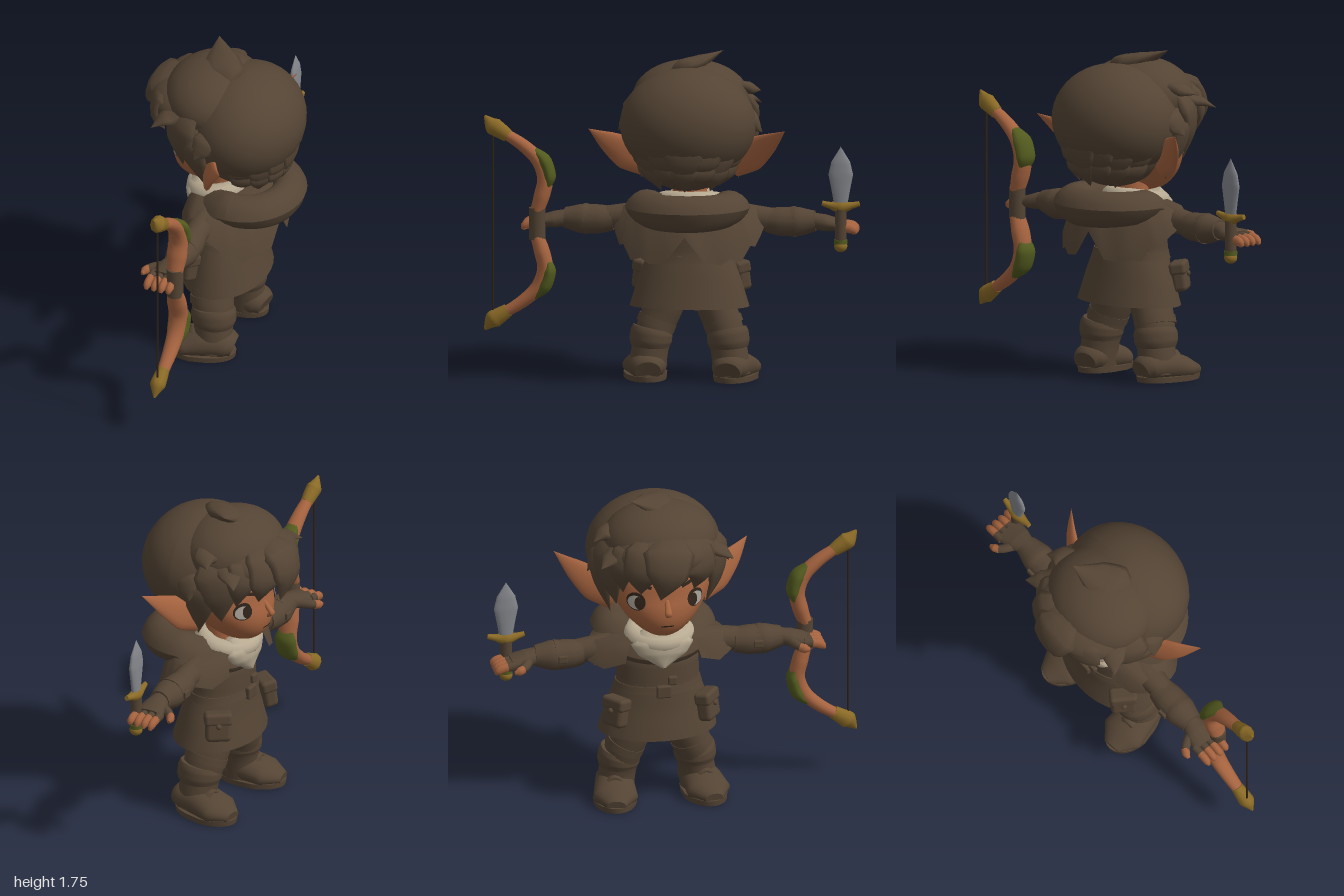
import * as THREE from 'three';
import { RoundedBoxGeometry } from 'three/addons/geometries/RoundedBoxGeometry.js';

const mat = (name, color, side = THREE.FrontSide) => {
  const m = new THREE.MeshStandardMaterial({ color, side });
  m.name = name;
  return m;
};
const V = (p) => new THREE.Vector3(...p);

// Sweeps an ellipse along a curve; widths and depths are spread evenly over its length.
function sweep(pts, widths, depths, out = [0, 0, 1], sides = 14, rings = 16) {
  const curve = new THREE.CatmullRomCurve3(pts.map(V));
  const pick = (a, t) => {
    const f = t * (a.length - 1), i = Math.min(Math.floor(f), a.length - 2);
    return THREE.MathUtils.lerp(a[i], a[i + 1], f - i);
  };
  const pos = [], idx = [];
  for (let i = 0; i <= rings; i++) {
    const t = i / rings, p = curve.getPoint(t), tan = curve.getTangent(t);
    const side = new THREE.Vector3().crossVectors(tan, V(out)).normalize();
    const nrm = new THREE.Vector3().crossVectors(tan, side);
    for (let j = 0; j < sides; j++) {
      const a = (j / sides) * Math.PI * 2;
      const q = p.clone().addScaledVector(side, pick(widths, t) * Math.cos(a)).addScaledVector(nrm, pick(depths, t) * Math.sin(a));
      pos.push(q.x, q.y, q.z);
    }
  }
  for (let i = 0; i < rings; i++) for (let j = 0; j < sides; j++) {
    const a = i * sides + j, b = i * sides + (j + 1) % sides;
    idx.push(a, b, a + sides, b, b + sides, a + sides);
  }
  // Caps have their own vertices so that blunt ends stay crisp
  for (const end of [0, 1]) {
    const base = pos.length / 3, ring = end * rings * sides;
    for (let j = 0; j < sides; j++) pos.push(...pos.slice((ring + j) * 3, (ring + j) * 3 + 3));
    for (let j = 1; j < sides - 1; j++) idx.push(base, base + (end ? j : j + 1), base + (end ? j + 1 : j));
  }
  const g = new THREE.BufferGeometry();
  g.setAttribute('position', new THREE.Float32BufferAttribute(pos, 3));
  g.setIndex(idx);
  g.computeVertexNormals();
  return g;
}

function reshape(g, rule) {
  const p = g.attributes.position, v = new THREE.Vector3();
  for (let i = 0; i < p.count; i++) {
    v.fromBufferAttribute(p, i);
    rule(v);
    p.setXYZ(i, v.x, v.y, v.z);
  }
  g.computeVertexNormals();
  return g;
}
const ball = (c, r) => new THREE.SphereGeometry(1, 36, 24).scale(...r).translate(...c);

export function createModel() {
  const brown = mat('brown cloth', 0x544434), cape = mat('brown cape', 0x544434, THREE.DoubleSide);
  const skin = mat('skin', 0xa5633f), gold = mat('gold', 0x8a6a26), green = mat('green wrap', 0x525a1e);
  const steel = mat('steel', 0x84868b), cream = mat('cream scarf', 0xb8aa92);
  const dark = mat('dark', 0x30241a, THREE.DoubleSide), white = mat('eye white', 0xa8a096, THREE.DoubleSide);
  // Built facing +z, then turned to face -x
  const body = new THREE.Group();
  body.name = 'archer';
  const add = (name, geo, m, parent = body) => {
    const mesh = new THREE.Mesh(geo, m);
    mesh.name = name;
    parent.add(mesh);
    return mesh;
  };

  // Head and face
  const jaw = (y) => Math.max(0, 1.24 - y);
  add('head', reshape(ball([0, 1.24, 0.03], [0.27, 0.255, 0.23]), (v) => {
    v.z += jaw(v.y) * 0.38;
    v.x *= 1 - jaw(v.y) * 1.1;
  }), skin);
  const facePlate = (name, g, m, off) => add(name, reshape(g, (v) => {
    const u = v.x / (1 - jaw(v.y) * 1.1) / 0.27, h = (v.y - 1.24) / 0.255;
    v.z = 0.03 + 0.23 * Math.sqrt(Math.max(0, 1 - u * u - h * h)) + jaw(v.y) * 0.38 + off;
  }), m);
  const oval = (x, y, w, h) => new THREE.CircleGeometry(1, 24).scale(w, h, 1).translate(x, y, 0);
  for (const s of [1, -1]) {
    facePlate('eyeOutline', oval(s * 0.16, 1.222, 0.046, 0.05), dark, 0.004);
    facePlate('eyeWhite', oval(s * 0.164, 1.217, 0.037, 0.038), white, 0.008);
    facePlate('iris', oval(s * 0.148, 1.217, 0.022, 0.034), dark, 0.012);
    facePlate('eyebrow', new THREE.PlaneGeometry(0.1, 0.018, 8, 1).rotateZ(s * 0.3).translate(s * 0.13, 1.315, 0), dark, 0.006);
    add('ear', sweep([[s * 0.22, 1.17, 0], [s * 0.33, 1.225, -0.05], [s * 0.43, 1.295, -0.11], [s * 0.525, 1.37, -0.19]],
      [0.085, 0.095, 0.055, 0], [0.035, 0.03, 0.02, 0]), skin);
  }
  facePlate('mouth', new THREE.PlaneGeometry(0.07, 0.008, 8, 1).translate(0, 1.085, 0), dark, 0.004);
  add('nose', sweep([[0, 1.23, 0.25], [0, 1.185, 0.29], [0, 1.165, 0.305], [0, 1.145, 0.275]], [0.012, 0.018, 0.02, 0.01], [0.012, 0.014, 0.013, 0.01]), skin);
  add('neck', new THREE.CylinderGeometry(0.09, 0.1, 0.18, 20).translate(0, 0.97, 0), skin);

  // Hair: smooth dome cut back around the face, crown, nape and fringe masses
  add('hairDome', reshape(ball([0, 1.39, -0.12], [0.362, 0.3, 0.313]), (v) => {
    v.z = Math.min(v.z, THREE.MathUtils.mapLinear(v.y, 1.15, 1.4, -0.01, 0.17));
  }), brown);
  add('hairNape', reshape(ball([0, 1.25, -0.12], [0.265, 0.215, 0.265]), (v) => { v.z = Math.min(v.z, -0.03); }), brown);
  add('hairCrown', ball([0, 1.51, 0.06], [0.31, 0.2, 0.27]), brown);
  add('fringe', ball([0, 1.485, 0.18], [0.28, 0.13, 0.225]), brown);
  const lock = (pts, w, d = 0.04) => {
    const mid = V(pts[pts.length >> 1]).sub(V([0, 1.4, -0.05]));
    add('hairLock', sweep(pts, [w * 0.2, w, w * 0.8, 0], [d * 0.2, d, d * 0.8, 0], mid.toArray(), 10, 12), brown);
  };
  lock([[0, 1.6, 0.16], [-0.01, 1.54, 0.36], [-0.03, 1.43, 0.41], [-0.06, 1.29, 0.39]], 0.14, 0.05);
  lock([[-0.04, 1.6, 0.16], [-0.12, 1.53, 0.32], [-0.16, 1.42, 0.35], [-0.15, 1.3, 0.31]], 0.12);
  lock([[0.06, 1.6, 0.12], [0.13, 1.52, 0.31], [0.17, 1.42, 0.33], [0.14, 1.3, 0.29]], 0.12);
  lock([[-0.1, 1.6, 0.12], [-0.2, 1.51, 0.25], [-0.25, 1.42, 0.26], [-0.23, 1.28, 0.22]], 0.1);
  lock([[0.12, 1.6, -0.02], [0.04, 1.67, 0], [-0.05, 1.7, 0.05], [-0.17, 1.755, 0.11]], 0.12, 0.05);
  lock([[-0.1, 1.58, 0.02], [-0.24, 1.56, 0.06], [-0.31, 1.56, 0.08], [-0.37, 1.54, 0.12]], 0.08);
  for (const s of [1, -1]) {
    lock([[s * 0.2, 1.6, 0.06], [s * 0.29, 1.47, 0.13], [s * 0.29, 1.34, 0.15], [s * 0.25, 1.18, 0.14]], 0.12);
    lock([[s * 0.25, 1.5, 0.0], [s * 0.325, 1.38, 0.05], [s * 0.31, 1.26, 0.04], [s * 0.255, 1.08, 0.0]], 0.09);
    lock([[s * 0.15, 1.54, 0.1], [s * 0.25, 1.5, 0.18], [s * 0.3, 1.48, 0.23], [s * 0.36, 1.45, 0.28]], 0.07, 0.03);
    lock([[s * 0.25, 1.48, -0.05], [s * 0.33, 1.42, -0.02], [s * 0.355, 1.37, 0.0], [s * 0.385, 1.33, 0.02]], 0.07, 0.03);
  }
  // Flat locks that break the outline of the back and the nape
  for (let i = -3; i <= 3; i++) {
    const a = i * 0.4, x = Math.sin(a), z = Math.cos(a), odd = i % 2 ? 1 : 0;
    const ring = (r, y) => [r * x, y, -0.12 - r * z];
    lock([ring(0.19, 1.3), ring(0.225, 1.22), ring(0.235, 1.14), ring(0.18, 1.05 + odd * 0.02)], 0.09, 0.02);
    lock([ring(0.24, 1.35), ring(0.26, 1.27), ring(0.255, 1.2), ring(0.225, 1.1 + odd * 0.04)], 0.11, 0.02);
  }

  // Tunic, belt, pouches
  add('tunic', sweep([[0, 0.4, -0.015], [0, 0.54, -0.01], [0, 0.68, 0], [0, 0.82, 0], [0, 0.95, 0]],
    [0.32, 0.277, 0.225, 0.22, 0.13], [0.225, 0.19, 0.16, 0.155, 0.11], [0, 0, 1], 32), brown);
  add('belt', sweep([[0, 0.645, 0], [0, 0.685, 0]], [0.241, 0.23], [0.174, 0.165], [0, 0, 1], 32, 2), brown);
  add('buckle', new RoundedBoxGeometry(0.08, 0.07, 0.03, 2, 0.01).translate(0, 0.665, 0.175), brown);
  add('chestClasp', new RoundedBoxGeometry(0.05, 0.05, 0.03, 2, 0.01).translate(0.05, 0.72, 0.16), brown);
  for (const s of [1, -1]) {
    const pouch = new THREE.Group();
    pouch.name = 'pouch';
    pouch.position.set(s * 0.25, 0.545, 0.12);
    pouch.rotation.set(-0.15, s * 0.95, 0, 'YXZ');
    add('pouchBag', new RoundedBoxGeometry(0.14, 0.15, 0.08, 3, 0.025), brown, pouch);
    add('pouchFlap', new RoundedBoxGeometry(0.15, 0.07, 0.09, 3, 0.02).translate(0, 0.05, 0), brown, pouch);
    add('pouchButton', ball([0, 0.015, 0.045], [0.015, 0.015, 0.012]), brown, pouch);
    body.add(pouch);
  }

  // Scarf, hood and ragged shoulder cape
  add('scarfRoll', new THREE.TorusGeometry(0.125, 0.05, 12, 32).rotateX(Math.PI / 2 + 0.15).scale(1.1, 1, 1).translate(0, 0.955, 0.035), cream);
  add('scarfBib', sweep([[0, 1.0, 0.1], [0, 0.93, 0.13], [0, 0.87, 0.145], [0, 0.8, 0.17]], [0.11, 0.17, 0.13, 0.01], [0.05, 0.072, 0.06, 0.02]), cream);
  add('hood', reshape(new THREE.TorusGeometry(1, 0.42, 16, 48).rotateX(Math.PI / 2), (v) => {
    const back = Math.max(0, -v.z) / 1.42, lip = 1 - Math.abs(v.y) * 0.16;
    const thick = v.y < 0 ? 0.21 + back * 0.08 : 0.205;
    v.set(v.x * 0.235 * lip, 0.95 + v.y * thick, v.z * 0.215 * lip - 0.135);
    if (v.z > -0.1) v.y -= (v.z + 0.1) * 0.4;
  }), brown);
  add('hoodLining', ball([0, 0.92, -0.14], [0.22, 0.06, 0.2]), brown);
  const hem = [[-150, 0.84], [-130, 0.8], [-108, 0.83], [-88, 0.86], [-72, 0.8], [-62, 0.74], [-56, 0.75], [-46, 0.67], [-36, 0.69], [-28, 0.66], [-15, 0.67], [0, 0.81]];
  const hemRing = [...hem, ...hem.slice(0, -1).reverse().map(([a, y]) => [-a, y])];
  const cp = [], ci = [];
  hemRing.forEach(([deg, y], i) => {
    const a = THREE.MathUtils.degToRad(deg), x = Math.sin(a), c = -Math.cos(a);
    const back = c < 0;
    cp.push(x * 0.16, 0.97, c * 0.14, x * 0.36, 0.935, c * (back ? 0.25 : 0.16), x * 0.41, y, c * (back ? 0.32 : 0.19));
    if (i) for (const k of [0, 1]) {
      const b = i * 3 + k, p = b - 3;
      ci.push(p, p + 1, b, b, p + 1, b + 1);
    }
  });
  const capeGeo = new THREE.BufferGeometry();
  capeGeo.setAttribute('position', new THREE.Float32BufferAttribute(cp, 3));
  capeGeo.setIndex(ci);
  capeGeo.computeVertexNormals();
  add('cape', capeGeo, cape);

  for (const s of [1, -1]) {
    // Arm, gauntlet, fingerless glove and fingers
    add('sleeve', sweep([[s * 0.15, 0.89, 0], [s * 0.3, 0.875, 0], [s * 0.46, 0.865, 0]], [0.08, 0.075, 0.06], [0.08, 0.075, 0.06]), brown);
    add('gauntlet', sweep([[s * 0.41, 0.86, 0.005], [s * 0.48, 0.855, 0.005], [s * 0.58, 0.855, 0.005], [s * 0.67, 0.86, 0.005]],
      [0.066, 0.078, 0.08, 0.055], [0.07, 0.083, 0.085, 0.06]), brown);
    add('gauntletStrap', new THREE.CylinderGeometry(0.084, 0.08, 0.025, 24).rotateZ(-s * Math.PI / 2).translate(s * 0.55, 0.855, 0.005), brown);
    add('gauntletBuckle', new RoundedBoxGeometry(0.05, 0.04, 0.02, 2, 0.006).translate(s * 0.53, 0.86, 0.09), brown);
    add('glove', sweep([[s * 0.66, 0.86, 0.005], [s * 0.72, 0.85, 0.01], [s * 0.8, 0.84, 0.015]], [0.045, 0.045, 0.03], [0.05, 0.07, 0.08]), brown);
    for (let i = 0; i < 4; i++) {
      const z = 0.078 - i * 0.042, e = i === 3 ? 0.02 : 0;
      add('gloveFinger', sweep([[s * 0.78, 0.84, z], [s * 0.825, 0.835, z]], [0.025, 0.025], [0.022, 0.022], [0, 0, 1], 10, 3), brown);
      add('fingertip', sweep([[s * 0.815, 0.836, z], [s * 0.86, 0.828, z], [s * 0.88, 0.815, z], [s * (0.893 - e), 0.8, z]],
        [0.024, 0.026, 0.022, 0.008], [0.021, 0.021, 0.019, 0.008], [0, 0, 1], 10, 8), skin);
    }
    add('gloveThumb', sweep([[s * 0.71, 0.845, 0.05], [s * 0.735, 0.84, 0.1], [s * 0.755, 0.835, 0.125]], [0.028, 0.025, 0.022], [0.028, 0.025, 0.022], [0, 1, 0], 10), brown);
    add('thumbTip', sweep([[s * 0.75, 0.835, 0.122], [s * 0.775, 0.83, 0.135], [s * 0.8, 0.825, 0.14]], [0.022, 0.022, 0.009], [0.024, 0.024, 0.01], [0, 1, 0], 10), skin);

    // Leg, boot cuff and boot
    add('trouserLeg', sweep([[s * 0.11, 0.5, 0.01], [s * 0.14, 0.39, 0.01], [s * 0.177, 0.3, 0], [s * 0.21, 0.17, -0.02], [s * 0.228, 0.03, -0.025]],
      [0.105, 0.103, 0.1, 0.098, 0.1], [0.12, 0.12, 0.115, 0.105, 0.108], [0, 0, 1], 24), brown);
    add('trouserFold', sweep([[s * 0.185, 0.285, 0], [s * 0.17, 0.325, 0.005]], [0.106, 0.106], [0.119, 0.119], [0, 0, 1], 24, 3), brown);
    add('bootCuff', sweep([[s * 0.21, 0.18, -0.02], [s * 0.208, 0.21, -0.02], [s * 0.203, 0.25, -0.018], [s * 0.198, 0.275, -0.015]],
      [0.103, 0.113, 0.113, 0.105], [0.11, 0.122, 0.122, 0.112], [0, 0, 1], 24), brown);
    const boot = new THREE.Group();
    boot.name = 'boot';
    boot.position.set(s * 0.23, 0, -0.02);
    boot.rotation.y = s * 0.15;
    add('bootFoot', reshape(sweep([[0, 0.06, -0.12], [0, 0.075, -0.08], [0, 0.075, 0.04], [0, 0.055, 0.15], [0, 0.04, 0.24]],
      [0.07, 0.095, 0.108, 0.12, 0.05], [0.055, 0.075, 0.085, 0.065, 0.03], [0, 1, 0], 24), (v) => { v.y = Math.max(v.y, 0.015); }), brown, boot);
    add('bootSole', reshape(sweep([[0, 0, 0.06], [0, 0.03, 0.06]], [0.118, 0.12], [0.188, 0.192], [0, 0, 1], 28, 2), (v) => {
      if (v.z < 0.06) v.x *= 0.94;
    }), brown, boot);
    add('bootStrap', sweep([[-0.1, 0.05, 0.09], [0, 0.15, 0.09], [0.1, 0.05, 0.09]], [0.03, 0.03], [0.012, 0.012], [0, 1, 0.01], 8), brown, boot);
    body.add(boot);
  }

  // Bow, symmetric above and below the grip
  const bow = new THREE.Group();
  bow.name = 'bow';
  bow.position.set(0, 0.835, -0.055);
  body.add(bow);
  add('bowGrip', new THREE.CylinderGeometry(0.044, 0.044, 0.17, 16).translate(0.81, 0, 0), brown, bow);
  for (const s of [1, -1]) {
    add('bowLimb', sweep([[0.81, s * 0.07, 0], [0.785, s * 0.15, 0], [0.768, s * 0.24, 0], [0.8, s * 0.335, 0], [0.88, s * 0.415, 0], [1.0, s * 0.492, 0]],
      [0.036, 0.043, 0.042, 0.04, 0.035, 0.028], [0.045, 0.056, 0.053, 0.047, 0.04, 0.03], [0, 0, 1], 14, 28), skin, bow);
    add('bowWrap', sweep([[0.752, s * 0.19, 0], [0.744, s * 0.25, 0], [0.772, s * 0.34, 0], [0.835, s * 0.405, 0]],
      [0.01, 0.035, 0.037, 0.012], [0.04, 0.064, 0.062, 0.025], [0, 0, 1], 14), green, bow);
    add('bowTip', sweep([[0.965, s * 0.468, 0], [1.0, s * 0.492, 0], [1.045, s * 0.522, 0], [1.09, s * 0.575, 0]],
      [0.036, 0.042, 0.05, 0.006], [0.033, 0.038, 0.042, 0.004], [0, 0, 1], 10), gold, bow);
  }
  add('bowString', new THREE.CylinderGeometry(0.006, 0.006, 1.0, 6).translate(1.045, 0, 0), dark, bow);

  // Short sword
  const sword = new THREE.Group();
  sword.name = 'sword';
  sword.position.set(-0.81, 0, -0.055);
  body.add(sword);
  add('swordGrip', new THREE.CylinderGeometry(0.032, 0.03, 0.18, 14).translate(0, 0.85, 0), brown, sword);
  add('swordGuard', sweep([[-0.1, 0.965, 0], [-0.06, 0.955, 0], [0, 0.945, 0], [0.06, 0.955, 0], [0.1, 0.965, 0]], [0.014, 0.018, 0.036, 0.018, 0.014], [0.012, 0.02, 0.034, 0.02, 0.012]), gold, sword);
  add('swordPommel', ball([0, 0.735, 0], [0.035, 0.032, 0.035]), gold, sword);
  add('swordPommelBand', new THREE.CylinderGeometry(0.036, 0.036, 0.022, 14).translate(0, 0.76, 0), green, sword);
  add('swordBlade', sweep([[0, 0.96, 0], [0, 1.04, 0], [0, 1.12, 0], [0, 1.19, 0], [0, 1.27, 0]], [0.036, 0.05, 0.066, 0.05, 0], [0.018, 0.02, 0.02, 0.016, 0], [0, 0, 1], 12), steel, sword);

  body.position.z = -0.09;
  body.rotation.y = -Math.PI / 2;
  const model = new THREE.Group();
  model.name = 'model';
  model.add(body);
  return model;
}
